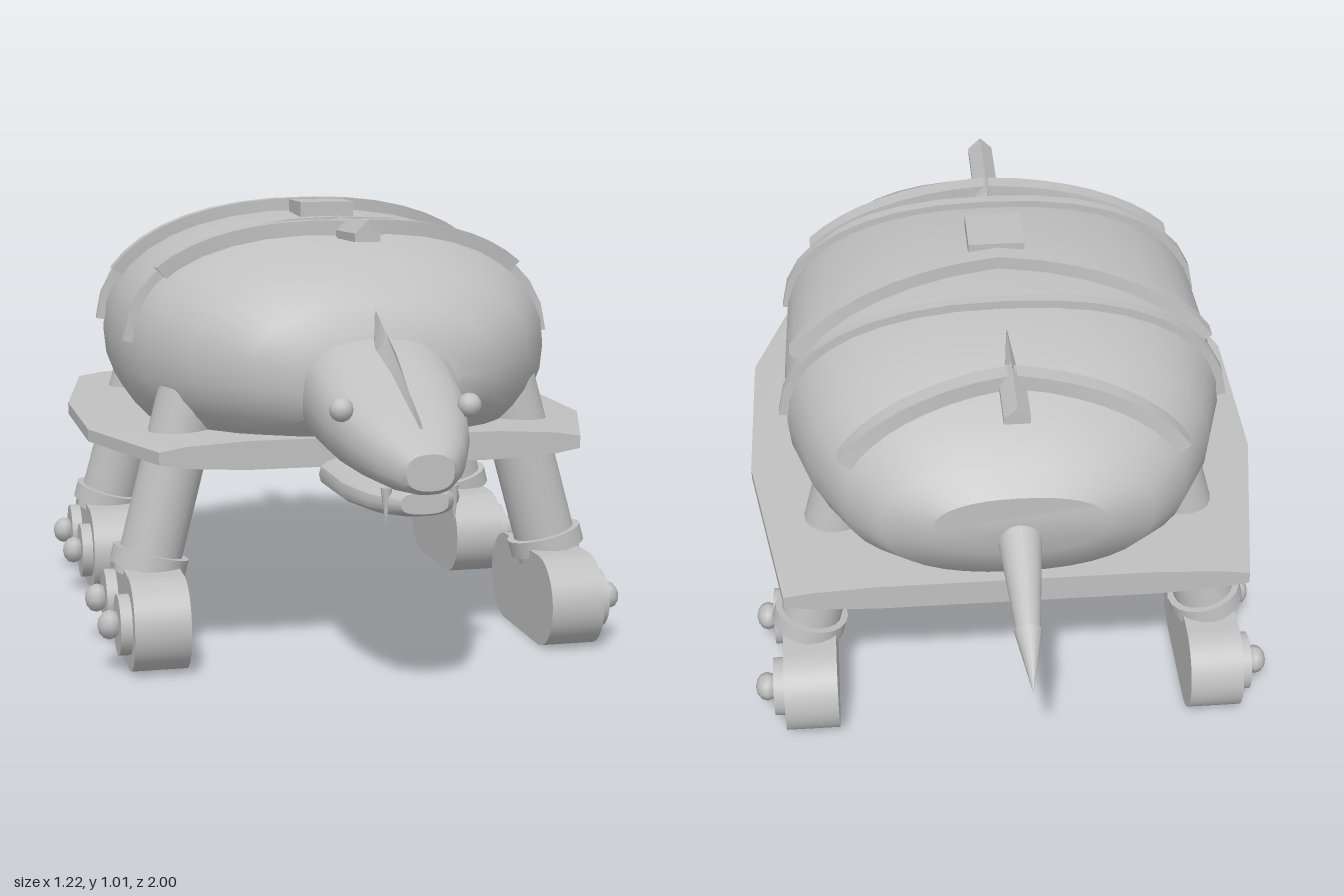
import * as THREE from 'three';
import { toCreasedNormals } from 'three/addons/utils/BufferGeometryUtils.js';

const V = (x, y, z) => new THREE.Vector3(x, y, z);
const steel = new THREE.MeshStandardMaterial({ color: 0xc0c0c0 });
steel.name = 'steel grey';

// Skin closed rings (counter-clockwise about the direction of travel) and cap both ends
function loft(rings, crease = 0.6) {
  const n = rings[0].length, pos = [], idx = [];
  rings.forEach(r => r.forEach(p => pos.push(p.x, p.y, p.z)));
  for (let i = 0; i < rings.length - 1; i++) for (let j = 0; j < n; j++) {
    const a = i * n + j, b = i * n + (j + 1) % n;
    idx.push(a, b, b + n, a, b + n, a + n);
  }
  const last = (rings.length - 1) * n;
  for (let j = 1; j < n - 1; j++) idx.push(0, j + 1, j, last, last + j, last + j + 1);
  const g = new THREE.BufferGeometry();
  g.setAttribute('position', new THREE.Float32BufferAttribute(pos, 3));
  g.setIndex(idx);
  return toCreasedNormals(g, crease);
}

// Point on a rounded section: s = [z, half width, top, bottom]
function sectionPoint([z, w, top, bot], a, e) {
  const pw = v => Math.sign(v) * Math.abs(v) ** (2 / e);
  return V(w * pw(Math.cos(a)), (top + bot) / 2 + (top - bot) / 2 * pw(Math.sin(a)), z);
}
const hull = (stations, e, n) => loft(stations.map(s =>
  Array.from({ length: n }, (_, j) => sectionPoint(s, j / n * Math.PI * 2, e))));

const BODY = [
  [-0.685, 0.19, 0.785, 0.63], [-0.63, 0.3, 0.83, 0.53], [-0.55, 0.38, 0.885, 0.48],
  [-0.4, 0.455, 0.945, 0.42], [-0.25, 0.5, 0.978, 0.392], [-0.05, 0.507, 0.986, 0.383],
  [0.15, 0.503, 0.975, 0.387], [0.3, 0.475, 0.95, 0.415], [0.45, 0.39, 0.893, 0.465],
  [0.55, 0.28, 0.815, 0.52], [0.59, 0.19, 0.75, 0.57]];

// Body section at any z
function bodyAt(z) {
  let i = 0;
  while (i < BODY.length - 2 && BODY[i + 1][0] < z) i++;
  const t = (z - BODY[i][0]) / (BODY[i + 1][0] - BODY[i][0]);
  return BODY[i].map((v, k) => v + (BODY[i + 1][k] - v) * t);
}

// Square strip over the shell, from zEnd at the sides to zMid on the centre line
function band(zEnd, zMid, a0, hw, hh, lift) {
  const rings = [], n = 16;
  for (let i = 0; i <= n; i++) {
    const a = a0 + (Math.PI - 2 * a0) * i / n;
    const z = zEnd + (zMid - zEnd) * (1 - Math.abs(Math.cos(a)) / Math.cos(a0));
    const p = sectionPoint(bodyAt(z), a, 2.3);
    const N = V(Math.cos(a) * 0.8, Math.sin(a) + 0.1, 0).normalize();
    rings.push([[1, 1], [-1, 1], [-1, -1], [1, -1]].map(([u, v]) =>
      p.clone().addScaledVector(N, lift + v * hh).add(V(0, 0, u * hw))));
  }
  return loft(rings);
}

// Triangular ridge bar: stations [z, half width, top, bottom]
const ridge = st => loft(st.map(([z, w, t, b]) =>
  [V(w, b, z), V(w, b + (t - b) * 0.4, z), V(0, t, z), V(-w, b + (t - b) * 0.4, z), V(-w, b, z)]), 0.2);

// Tapered rod between two points
function rod(p, q, rp, rq, seg = 20) {
  const d = q.clone().sub(p), g = new THREE.CylinderGeometry(rq, rp, d.length(), seg);
  g.applyQuaternion(new THREE.Quaternion().setFromUnitVectors(V(0, 1, 0), d.normalize()));
  const m = p.clone().add(q).multiplyScalar(0.5);
  return g.translate(m.x, m.y, m.z);
}

export function createModel() {
  const model = new THREE.Group();
  model.name = 'armouredWalker';
  const add = (name, geo, parent = model) => {
    const m = new THREE.Mesh(geo, steel);
    m.name = name;
    parent.add(m);
    return m;
  };

  // Shell and the flat skirt around it
  add('shell', hull(BODY, 2.3, 36));
  add('skirt', loft([[-0.65, 0.52], [-0.19, 0.598], [0.22, 0.595], [0.555, 0.48]].map(([z, w]) =>
    [[1, -0.014], [1, 0.014], [0.88, 0.024], [0.6, 0.032], [-0.6, 0.032], [-0.88, 0.024], [-1, 0.014],
      [-1, -0.014], [-0.88, -0.024], [-0.6, -0.032], [0.6, -0.032], [0.88, -0.024]]
      .map(([x, y]) => V(x * w, 0.49 + y, z))), 0.3));

  // Straight hoops and chevron strips
  for (const z of [0.205, -0.24]) add('hoop', band(z, z, 0.05, 0.013, 0.014, 0.005));
  add('frontChevron', band(0.22, 0.29, 0.6, 0.02, 0.018, 0.012));
  add('middleChevron', band(-0.18, -0.08, 0.43, 0.02, 0.018, 0.012));
  add('rearChevron', band(-0.53, -0.455, 0.42, 0.02, 0.018, 0.014));

  // Ridge bars and hatch on the back
  add('frontRidge', ridge([[0.2, 0.008, 0.985, 0.94], [0.24, 0.029, 0.985, 0.94], [0.485, 0.029, 0.992, 0.945]]));
  add('rearRidge', ridge([[-0.595, 0.029, 0.955, 0.915], [-0.46, 0.029, 0.965, 0.915],
    [-0.44, 0.014, 0.967, 0.92], [-0.33, 0.002, 0.975, 0.955]]));
  add('hatch', new THREE.BoxGeometry(0.13, 0.04, 0.13).translate(0, 0.992, 0.025));

  // Head, lower jaw and crest
  add('head', hull([[0.54, 0.17, 0.755, 0.49], [0.62, 0.17, 0.735, 0.485], [0.73, 0.158, 0.69, 0.477],
    [0.84, 0.13, 0.64, 0.472], [0.93, 0.095, 0.6, 0.47], [0.985, 0.062, 0.568, 0.475],
    [1, 0.05, 0.56, 0.485]], 2.5, 24));
  add('lowerJaw', hull([[0.57, 0.13, 0.485, 0.405], [0.75, 0.125, 0.48, 0.408], [0.87, 0.1, 0.478, 0.413],
    [0.93, 0.07, 0.478, 0.42], [0.96, 0.05, 0.475, 0.43]], 2.8, 20));
  add('crest', hull([[0.55, 0.004, 0.805, 0.66], [0.65, 0.026, 0.76, 0.66], [0.8, 0.016, 0.68, 0.6],
    [0.93, 0.004, 0.612, 0.58]], 2, 4));
  for (const s of [1, -1]) {
    add('eye', new THREE.SphereGeometry(0.026, 12, 8).translate(s * 0.138, 0.626, 0.81));
    add('fang', rod(V(s * 0.07, 0.48, 0.92), V(s * 0.073, 0.405, 0.925), 0.012, 0.001, 8));
  }

  // Tail with a pointed tip
  add('tail', rod(V(0, 0.675, -0.64), V(0, 0.582, -0.88), 0.052, 0.026));
  add('tailTip', rod(V(0, 0.583, -0.875), V(0, 0.525, -1), 0.031, 0.001, 12));

  // Foot outline: two half circles joined by straight sides
  const pad = new THREE.Shape();
  pad.absarc(0.12, 0.105, 0.105, -Math.PI / 2, Math.PI / 2);
  pad.absarc(-0.12, 0.105, 0.105, Math.PI / 2, Math.PI * 1.5);
  pad.closePath();
  const padGeo = toCreasedNormals(new THREE.ExtrudeGeometry(pad,
    { depth: 0.125, bevelEnabled: false, curveSegments: 16 }).translate(0, 0, -0.0625).rotateY(Math.PI / 2), 0.6);

  // Four splayed legs: [top z, ankle z, foot centre z]
  for (const s of [1, -1]) for (const [zt, za, zf] of [[0.325, 0.345, 0.35], [-0.375, -0.405, -0.398]]) {
    const leg = new THREE.Group();
    leg.name = (s > 0 ? 'left' : 'right') + (zf > 0 ? 'Front' : 'Rear') + 'Leg';
    model.add(leg);
    const at = t => V(s * (0.375 + 0.1 * t), 0.6 - 0.38 * t, zt + (za - zt) * t);
    add('shaft', rod(at(0), at(1), 0.072, 0.072), leg);
    add('collar', rod(at(0.95), at(1.05), 0.088, 0.088), leg);
    add('ankle', rod(at(1), at(1.1), 0.074, 0.074), leg);
    add('foot', padGeo, leg).position.set(s * 0.4775, 0, zf);
    for (const d of [0.122, -0.122]) {
      const hub = (x, y, z) => V(s * x, y, z);
      add('wheelDisc', rod(hub(0.53, 0.105, zf + d), hub(0.566, 0.105, zf + d), 0.068, 0.068, 24), leg);
      add('bolt', new THREE.SphereGeometry(0.034, 8, 6).rotateZ(Math.PI / 2)
        .scale(0.8, 1, 1).translate(s * 0.583, 0.107, zf + d), leg);
    }
  }
  return model;
}
